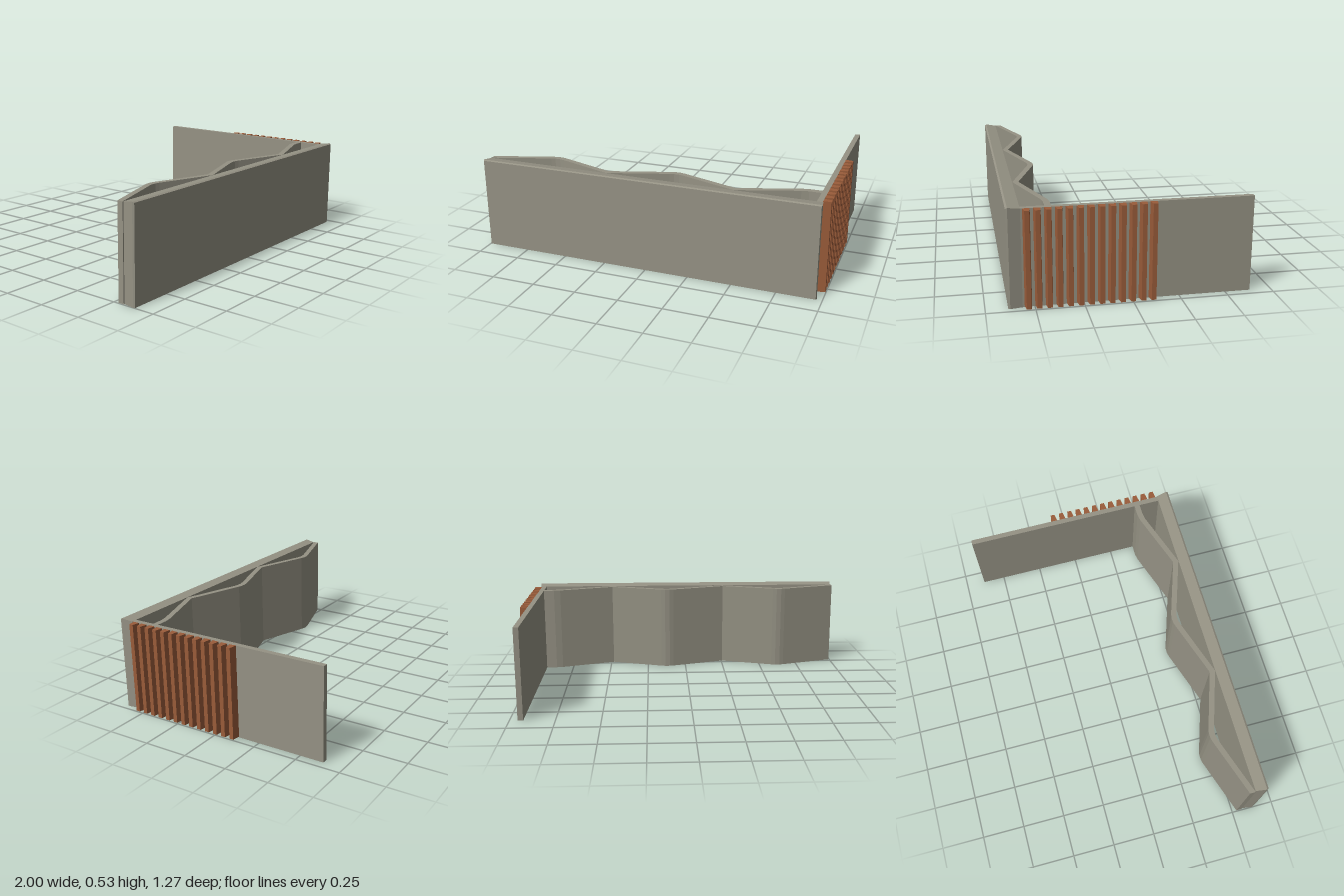
import * as THREE from 'three';

const H = 0.52;

// Extrude a plan outline of [x, z] points upward from y0 by height h
function prism(points, y0, h) {
  const shape = new THREE.Shape(points.map(([x, z]) => new THREE.Vector2(x, -z)));
  const geo = new THREE.ExtrudeGeometry(shape, { depth: h, bevelEnabled: false });
  return geo.rotateX(-Math.PI / 2).translate(0, y0, 0);
}

// Solid lofted through rectangles [z, xMin, xMax, yMax] ordered back to front
function loftRects(sections) {
  const pos = [];
  const rings = sections.map(([z, a, b, t]) => [[a, 0, z], [b, 0, z], [b, t, z], [a, t, z]]);
  const quad = (p, q, r, s) => pos.push(...p, ...q, ...r, ...p, ...r, ...s);
  for (let i = 0; i < rings.length - 1; i++) {
    for (let j = 0; j < 4; j++) {
      const k = (j + 1) % 4;
      quad(rings[i][j], rings[i][k], rings[i + 1][k], rings[i + 1][j]);
    }
  }
  const [b, f] = [rings[0], rings[rings.length - 1]];
  quad(f[0], f[1], f[2], f[3]);
  quad(b[1], b[0], b[3], b[2]);
  const geo = new THREE.BufferGeometry();
  geo.setAttribute('position', new THREE.Float32BufferAttribute(pos, 3));
  geo.computeVertexNormals();
  return geo;
}

export function createModel() {
  const group = new THREE.Group();
  const concrete = new THREE.MeshStandardMaterial({ color: 0x959284 });
  concrete.name = 'concrete grey';
  const timber = new THREE.MeshStandardMaterial({ color: 0x9a5c3a });
  timber.name = 'timber brown';
  const add = (name, geo, mat, parent = group) => {
    const mesh = new THREE.Mesh(geo, mat);
    mesh.name = name;
    parent.add(mesh);
  };

  // Long front wall, slightly flared toward its face, with bevelled front edges
  add('frontWall', loftRects([
    [0.562, -0.99, 0.958, H],
    [0.625, -1, 0.969, 0.53],
    [0.635, -0.996, 0.965, 0.525],
  ]), concrete);

  // Side wall running back from the right-hand corner
  add('sideWall', new THREE.BoxGeometry(0.03, H, 1.2).translate(0.94, H / 2, -0.035), concrete);

  // Folded wall behind the front wall: back edge, then the same path offset in z
  const back = [
    [-0.995, 0.528], [-0.66, 0.418], [-0.635, 0.412], [-0.605, 0.412], [-0.58, 0.418],
    [-0.255, 0.528], [0.08, 0.418], [0.105, 0.412], [0.135, 0.412], [0.16, 0.418],
    [0.485, 0.528], [0.82, 0.414], [0.86, 0.407], [0.93, 0.407],
  ];
  const front = back.map(([x, z]) => [x, z + 0.033]).reverse();
  add('foldedWall', prism([...back, ...front], 0, H), concrete);

  // Tapered vertical slats on the outside of the side wall
  const slats = new THREE.Group();
  slats.name = 'slats';
  group.add(slats);
  for (let i = 0; i < 13; i++) {
    const z = 0.533 - i * 0.0533;
    add('slat', prism([
      [0.953, z - 0.019], [0.953, z + 0.019], [0.998, z + 0.012], [0.998, z - 0.012],
    ], 0.004, H - 0.004), timber, slats);
  }
  return group;
}
